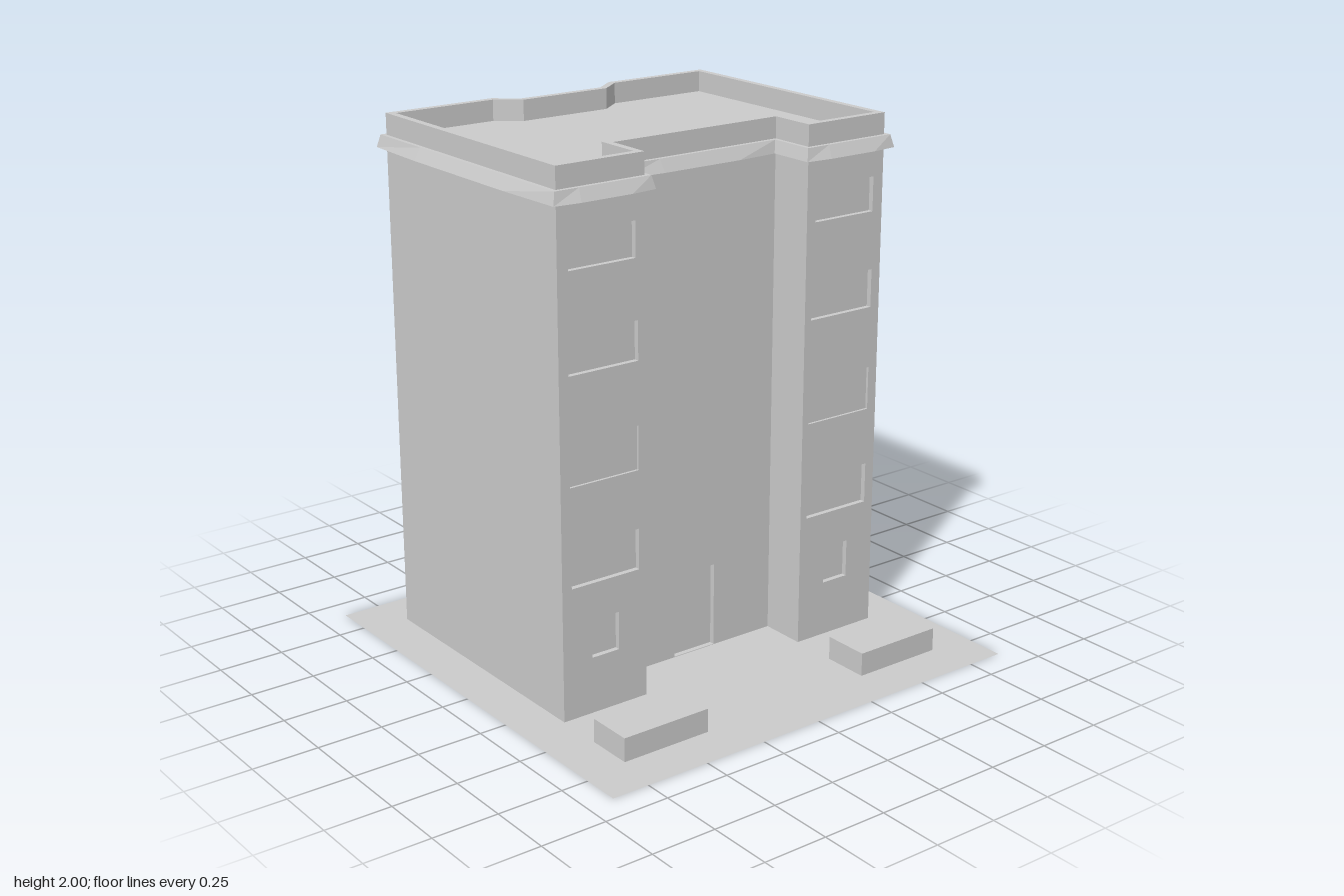
import * as THREE from 'three';

const material = new THREE.MeshStandardMaterial({ color: 0xcccccc, side: THREE.DoubleSide, flatShading: true });

// Building outline as [x, z], starting at the front and running counterclockwise from above
const footprint = [
  [-0.72, 0.36], [-0.36, 0.36], [-0.36, 0.18], [0.36, 0.18], [0.36, 0.36], [0.72, 0.36],
  [0.72, -0.72], [0.27, -0.72], [0.18, -0.65], [-0.18, -0.65], [-0.27, -0.72], [-0.72, -0.72],
];
const HEIGHT = 2, ROOF = 1.92;

function add(parent, name, geometry) {
  const mesh = new THREE.Mesh(geometry, material);
  mesh.name = name;
  parent.add(mesh);
  return mesh;
}

// Skin a stack of closed rings of [x, y, z] points
function loft(rings) {
  const position = [];
  for (let r = 0; r < rings.length - 1; r++) {
    const low = rings[r], high = rings[r + 1], n = low.length;
    for (let i = 0; i < n; i++) {
      const j = (i + 1) % n;
      for (const p of [low[i], low[j], high[j], low[i], high[j], high[i]]) position.push(...p);
    }
  }
  const geometry = new THREE.BufferGeometry();
  geometry.setAttribute('position', new THREE.Float32BufferAttribute(position, 3));
  geometry.computeVertexNormals();
  return geometry;
}

const atHeight = (points, y) => points.map(([x, z]) => [x, y, z]);

const edge = (a, b) => {
  const dx = b[0] - a[0], dz = b[1] - a[1], length = Math.hypot(dx, dz);
  return { dx, dz, length, nx: -dz / length, nz: dx / length };
};

// Move every side of an outline outwards with mitred corners
function offset(points, d) {
  const n = points.length;
  return points.map((p, i) => {
    const e = edge(points[(i + n - 1) % n], p), f = edge(p, points[(i + 1) % n]);
    const k = d / (1 + e.nx * f.nx + e.nz * f.nz);
    return [p[0] + (e.nx + f.nx) * k, p[1] + (e.nz + f.nz) * k];
  });
}

// Add two points to each long side, pushed outwards by the bulge
function bulged(points, bulge) {
  return points.flatMap((a, i) => {
    const b = points[(i + 1) % points.length], e = edge(footprint[i], footprint[(i + 1) % footprint.length]);
    if (e.length < 0.3) return [a];
    const mid = (t) => [a[0] + (b[0] - a[0]) * t + e.nx * bulge, a[1] + (b[1] - a[1]) * t + e.nz * bulge];
    return [a, mid(0.25), mid(0.75)];
  });
}

const outline = (points) => points.map(([x, y]) => new THREE.Vector2(x, y));

function shapeWithHoles(points, holes = []) {
  const shape = new THREE.Shape(outline(points));
  for (const hole of holes) shape.holes.push(new THREE.Path(outline(hole)));
  return new THREE.ShapeGeometry(shape);
}

// Horizontal sheet from an [x, z] outline
function sheet(points, y, holes = []) {
  const flip = (list) => list.map(([x, z]) => [x, -z]);
  return shapeWithHoles(flip(points), holes.map(flip)).rotateX(-Math.PI / 2).translate(0, y, 0);
}

const rect = (x0, y0, x1, y1) => [[x0, y0], [x1, y0], [x1, y1], [x0, y1]];

// One wall between two outline points, with shallow recessed openings
function makeWall(a, b, openings) {
  const e = edge(a, b);
  const wall = new THREE.Group();
  wall.name = 'wall';
  wall.position.set(a[0], 0, a[1]);
  wall.rotation.y = Math.atan2(-e.dz, e.dx);
  add(wall, 'wallFace', shapeWithHoles(rect(0, 0, e.length, HEIGHT), openings.map((o) => o.corners)));
  for (const { name, corners, depth } of openings) {
    const ring = (z) => corners.map(([x, y]) => [x, y, z]);
    add(wall, name + 'Reveal', loft([ring(0), ring(-depth)]));
    add(wall, name + 'Pane', shapeWithHoles(corners)).position.z = -depth;
  }
  return wall;
}

// Openings of one wing: x is measured from the wing's centre line at 0.54
function wingOpenings(side) {
  const rows = [
    [0.48, 0.595, 0.215, 0.36, 0.02], [0.39, 0.68, 0.5, 0.655, 0.02], [0.39, 0.68, 0.875, 1.04, 0.01],
    [0.39, 0.68, 1.275, 1.42, 0.02], [0.4, 0.675, 1.64, 1.77, 0.02],
  ];
  return rows.map(([x0, x1, y0, y1, depth]) => ({
    name: 'window', depth,
    corners: side > 0 ? rect(x0 - 0.36, y0, x1 - 0.36, y1) : rect(0.72 - x1, y0, 0.72 - x0, y1),
  }));
}

export function createModel() {
  const model = new THREE.Group();
  model.name = 'apartmentBlock';

  // Walls, with windows on the two wings and a door in the recess
  const openings = {
    0: wingOpenings(-1),
    2: [{ name: 'door', depth: 0.02, corners: rect(0.265, 0.002, 0.452, 0.33) }],
    4: wingOpenings(1),
  };
  footprint.forEach((p, i) => model.add(makeWall(p, footprint[(i + 1) % footprint.length], openings[i] ?? [])));

  // Parapet rim and flat roof inside it
  const inner = offset(footprint, -0.027);
  add(model, 'parapet', loft([atHeight(footprint, HEIGHT), atHeight(inner, HEIGHT), atHeight(inner, ROOF)]));
  add(model, 'roof', sheet(inner, ROOF));

  // Sloped cornice, slightly bowed along its lower edge
  const flush = bulged(footprint, 0);
  add(model, 'cornice', loft([
    atHeight(flush, 1.873),
    atHeight(bulged(offset(footprint, 0.027), 0.01), 1.873),
    atHeight(bulged(offset(footprint, 0.016), 0), 1.92),
    atHeight(flush, 1.92),
  ]));

  // Planters, open underneath
  const planters = [-1, 1].map((s) => rect(s * 0.54 - 0.18, 0.54, s * 0.54 + 0.18, 0.72).reverse());
  for (const plan of planters) {
    add(model, 'planterSides', loft([atHeight(plan, 0), atHeight(plan, 0.09)]));
    add(model, 'planterTop', sheet(plan, 0.09));
  }

  // Ground sheet, cut out beneath the building and planters
  add(model, 'ground', sheet(rect(-0.895, -0.895, 0.895, 0.895), 0, [footprint, ...planters]));

  return model;
}
